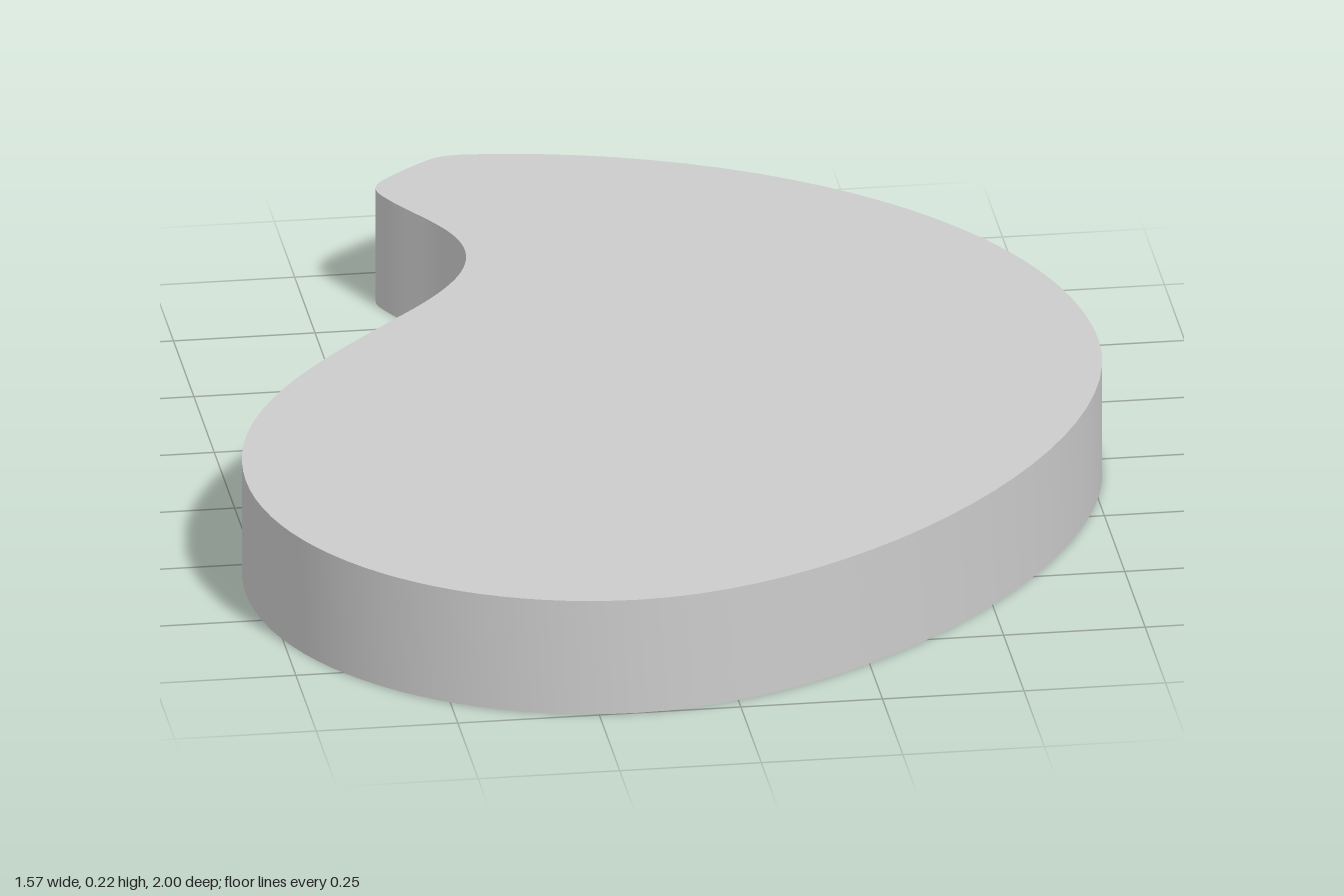
import * as THREE from 'three';
import { toCreasedNormals } from 'three/addons/utils/BufferGeometryUtils.js';

const THICKNESS = 0.215;

// Curved drop outline as Bezier segments in (x, z): control 1, control 2, end
const START = [-0.2, -1.0];
const SEGMENTS = [
  [0.34, -0.96, 0.78, -0.54, 0.78, -0.03],       // long outer side
  [0.78, 0.44, 0.24, 1.0, -0.18, 1.0],           // front right
  [-0.52, 1.0, -0.785, 0.72, -0.785, 0.38],      // round front left
  [-0.785, 0.06, -0.57, -0.14, -0.42, -0.3],     // inner side
  [-0.33, -0.39, -0.26, -0.48, -0.26, -0.58],    // hollow below the tip
  [-0.26, -0.68, -0.33, -0.75, -0.365, -0.83],   // hollow up to the tip
  [-0.385, -0.87, -0.375, -0.89, -0.35, -0.915], // first tip corner
  [-0.33, -0.935, -0.3, -0.96, -0.28, -0.975],   // blunt tip end
  [-0.25, -1.0, -0.23, -1.0, -0.2, -1.0],        // second tip corner
];

export function createModel() {
  const group = new THREE.Group();
  group.name = 'dropPlate';

  // Shape y is -z, so that laying it flat restores z
  const outline = new THREE.Shape();
  outline.moveTo(START[0], -START[1]);
  for (const [ax, az, bx, bz, x, z] of SEGMENTS) {
    outline.bezierCurveTo(ax, -az, bx, -bz, x, -z);
  }

  const geometry = new THREE.ExtrudeGeometry(outline, {
    depth: THICKNESS,
    bevelEnabled: false,
    curveSegments: 24,
  });
  geometry.rotateX(-Math.PI / 2);

  const plate = new THREE.Mesh(
    toCreasedNormals(geometry, Math.PI / 5),
    new THREE.MeshStandardMaterial({ color: 0xcccccc })
  );
  plate.name = 'plate';
  group.add(plate);
  return group;
}
